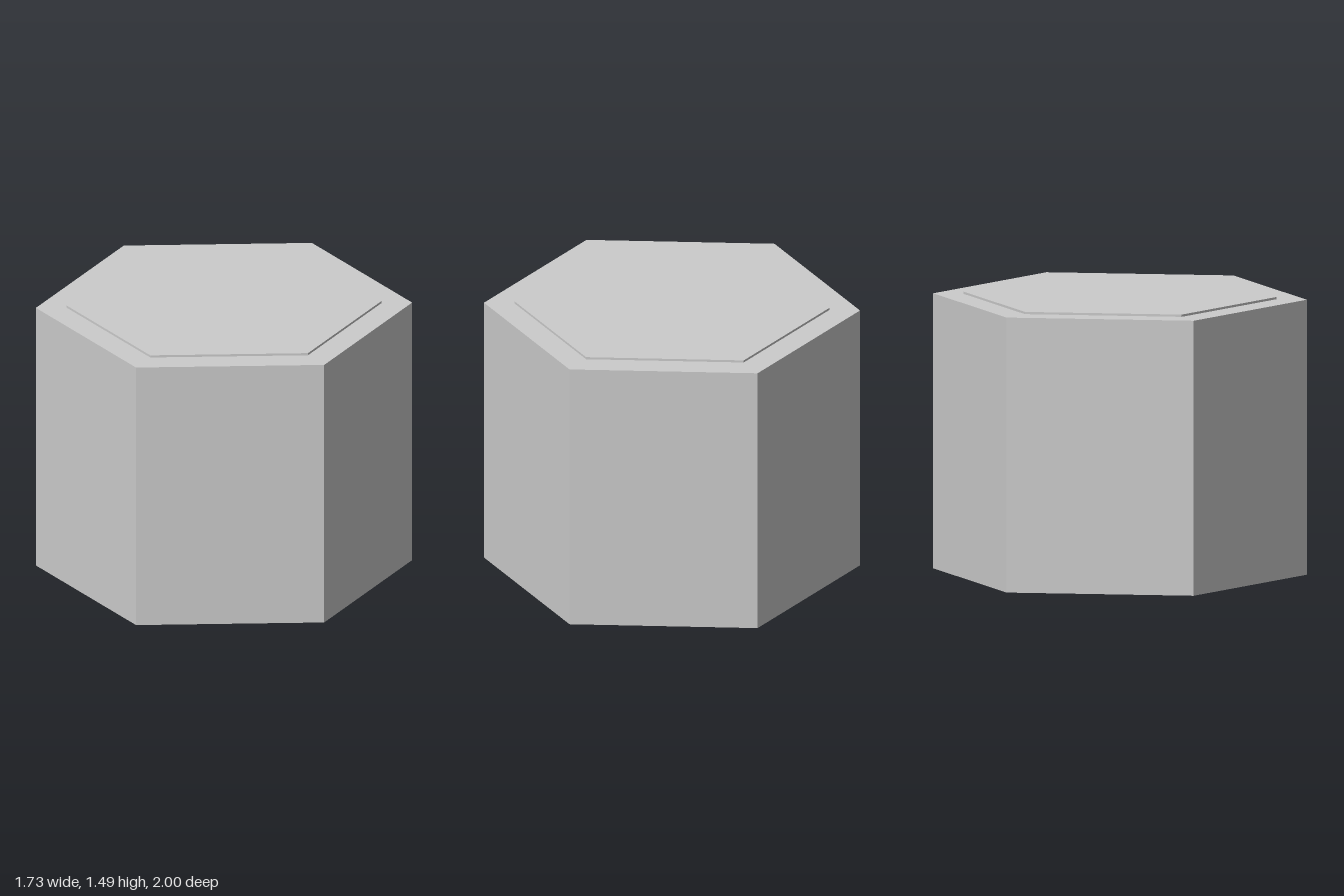
import * as THREE from 'three';

const BODY_HEIGHT = 1.475;
const PLATE_HEIGHT = 0.012;

export function createModel() {
  const model = new THREE.Group();
  model.name = 'hexagonalBlock';
  const material = new THREE.MeshStandardMaterial({ color: 0xcccccc, flatShading: true });

  // Six-sided prism with corners pointing along z, standing on baseY
  function addPrism(name, radius, height, baseY) {
    const mesh = new THREE.Mesh(new THREE.CylinderGeometry(radius, radius, height, 6), material);
    mesh.name = name;
    mesh.position.y = baseY + height / 2;
    model.add(mesh);
  }

  // Main column
  addPrism('body', 1, BODY_HEIGHT, 0);
  // Thin raised plate on top
  addPrism('topPlate', 0.838, PLATE_HEIGHT, BODY_HEIGHT);

  return model;
}
